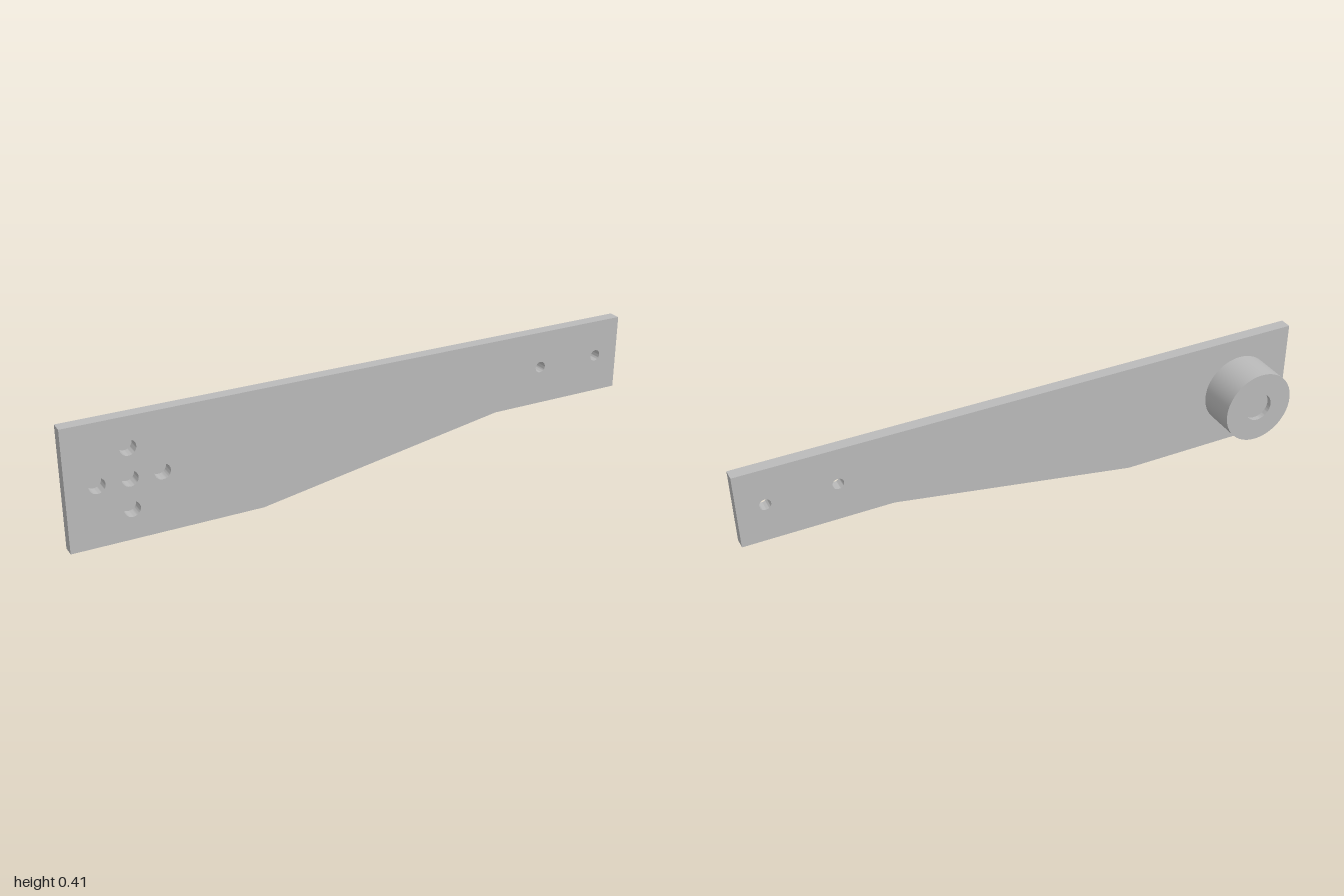
import * as THREE from 'three';
import { toCreasedNormals } from 'three/addons/utils/BufferGeometryUtils.js';

export function createModel() {
  const group = new THREE.Group();
  const steel = new THREE.MeshStandardMaterial({ color: 0xbababa });
  steel.name = 'grey steel';

  const add = (name, geometry) => {
    const mesh = new THREE.Mesh(toCreasedNormals(geometry, Math.PI / 6), steel);
    mesh.name = name;
    group.add(mesh);
    return mesh;
  };

  const hub = { x: -0.8, y: 0.204 };
  const plateBack = 0.048, plateFront = 0.09, bossBack = -0.088;

  // Tapered arm plate with five hub holes and two holes at the narrow end
  const outline = new THREE.Shape([
    [-1, 0], [-0.37, 0], [0.5, 0.147], [1, 0.147], [1, 0.407], [-1, 0.407],
  ].map(([x, y]) => new THREE.Vector2(x, y)));
  const drill = (x, y, r) => {
    outline.holes.push(new THREE.Path().absarc(x, y, r, 0, Math.PI * 2, true));
  };
  for (const [dx, dy] of [[0, 0], [0.102, 0], [-0.102, 0], [0, 0.102], [0, -0.102]]) {
    drill(hub.x + dx, hub.y + dy, 0.026);
  }
  for (const x of [0.677, 0.91]) drill(x, 0.28, 0.019);
  const plate = add('armPlate', new THREE.ExtrudeGeometry(outline, {
    depth: plateFront - plateBack, bevelEnabled: false, curveSegments: 24,
  }));
  plate.position.z = plateBack;

  // Round boss on the back, with a shallow recess in its end
  const length = plateBack - bossBack, radius = 0.13, bore = 0.05, recess = 0.018;
  const profile = [
    [0, 0], [radius, 0], [radius, length], [bore, length],
    [bore, length - recess], [0, length - recess],
  ].map(([x, y]) => new THREE.Vector2(x, y));
  const boss = add('boss', new THREE.LatheGeometry(profile, 64).rotateX(-Math.PI / 2));
  boss.position.set(hub.x, hub.y, plateBack);

  return group;
}
